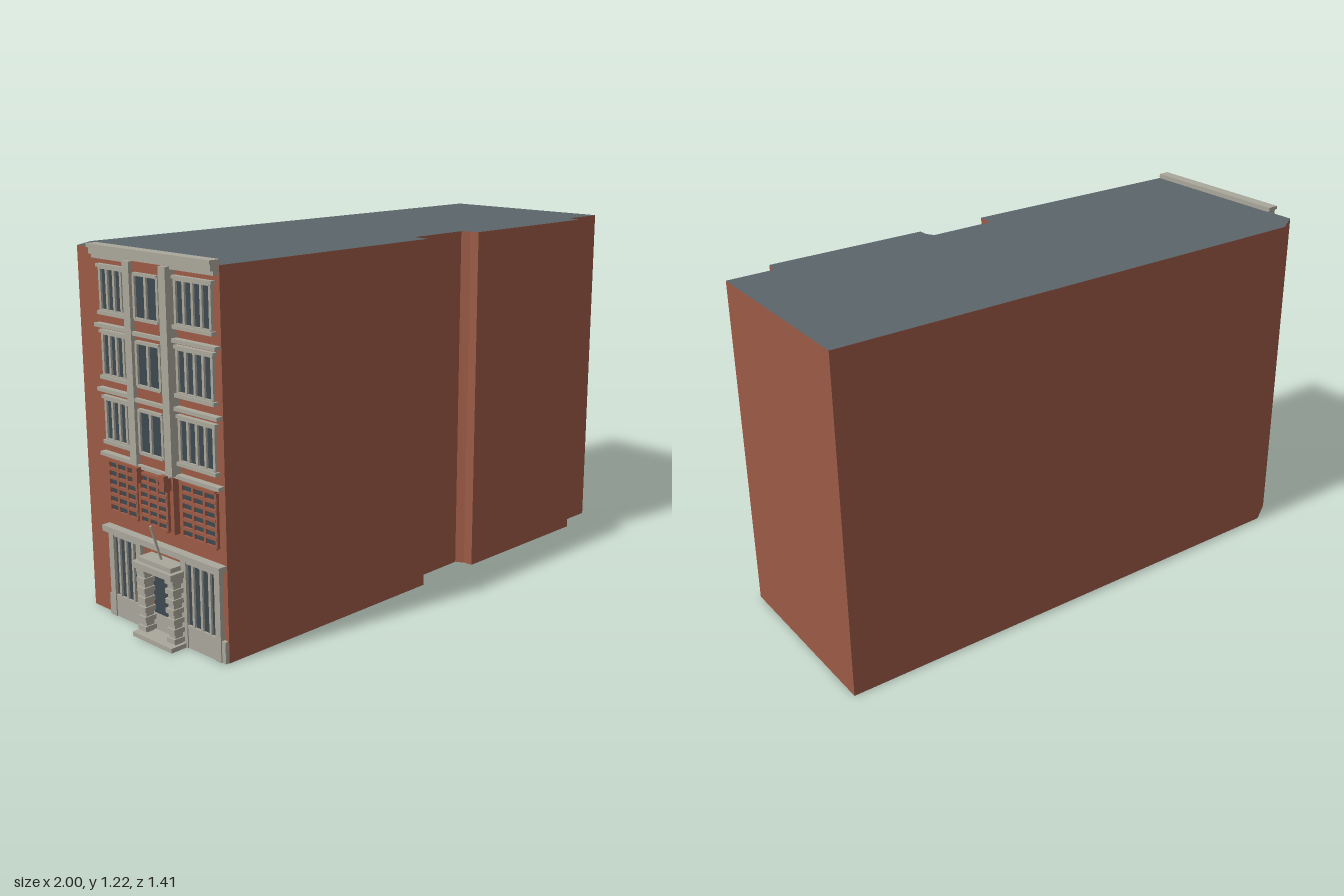
import * as THREE from 'three';

const mat = (color) => new THREE.MeshStandardMaterial({ color, flatShading: true });
const brick = mat(0x9c5a45), slate = mat(0x5a656a), stone = mat(0xaaa79b), glass = mat(0x3c4a50);

// Box given by its left/right, bottom/top and back/front limits
function slab(parent, name, material, u0, u1, y0, y1, d0, d1) {
  const m = new THREE.Mesh(new THREE.BoxGeometry(u1 - u0, y1 - y0, d1 - d0), material);
  m.position.set((u0 + u1) / 2, (y0 + y1) / 2, (d0 + d1) / 2);
  m.name = name;
  parent.add(m);
  return m;
}

// Glazed opening with a frame and evenly spaced bars
function windowUnit(parent, name, frame, u0, u1, y0, y1, d, cols, rows) {
  const g = new THREE.Group();
  g.name = name;
  const t = 0.01;
  slab(g, 'glazing', glass, u0, u1, y0, y1, d - 0.005, d + 0.003);
  for (let i = 0; i <= cols; i++) {
    const u = u0 + (u1 - u0) * i / cols;
    slab(g, 'mullion', frame, u - t / 2, u + t / 2, y0, y1, d, d + 0.01);
  }
  for (let j = 0; j <= rows; j++) {
    const y = y0 + (y1 - y0) * j / rows;
    slab(g, 'crossbar', frame, u0, u1, y - t / 2, y + t / 2, d, d + 0.011);
  }
  parent.add(g);
}

export function createModel() {
  const model = new THREE.Group();
  model.name = 'cornerBuilding';

  // Main block: footprint in plan (x, z), extruded upward
  const plan = [[-1, 0.08], [-0.94, -0.005], [0.74, -0.71], [0.998, -0.08], [0.845, -0.015],
    [0.855, 0.035], [0.32, 0.255], [0.305, 0.225], [0.28, 0.205], [0.06, 0.3], [0.08, 0.358], [-0.72, 0.69]];
  const shape = new THREE.Shape(plan.map(([x, z]) => new THREE.Vector2(x, -z)));
  const block = new THREE.ExtrudeGeometry(shape, { depth: 1.2, bevelEnabled: false });
  block.rotateX(-Math.PI / 2);
  const body = new THREE.Mesh(block, [slate, brick]);
  body.name = 'brickBlock';
  model.add(body);

  // Narrow street front: local x runs along the wall, local z points outward
  const front = new THREE.Group();
  front.name = 'streetFront';
  front.position.set(-1, 0, 0.08);
  front.rotation.y = -Math.atan2(0.61, 0.28);
  model.add(front);
  const L = 0.1, R = 0.668, B0 = 0.29, B1 = 0.46, bayD = 0.03;
  const sides = [[0.125, 0.265], [0.485, 0.64]];

  // Ground floor: stone frame, shop windows and plinth
  slab(front, 'plinth', stone, L, R, 0, 0.07, 0, 0.012);
  for (const [a, b] of sides) {
    windowUnit(front, 'shopWindow', stone, a, b, 0.07, 0.28, 0.002, 4, 1);
    for (const u of [a, b]) slab(front, 'groundPier', stone, u - 0.012, u + 0.012, 0, 0.29, 0, 0.016);
  }
  slab(front, 'shopCornice', stone, L, R, 0.29, 0.31, 0, 0.03);

  // Entrance porch with banded columns, lintel and door
  const porch = new THREE.Group();
  porch.name = 'entrancePorch';
  front.add(porch);
  slab(porch, 'door', glass, 0.33, 0.46, 0, 0.23, 0, 0.01);
  slab(porch, 'step', stone, 0.3, 0.49, 0, 0.015, 0, 0.075);
  for (const u of [0.325, 0.465]) {
    slab(porch, 'column', stone, u - 0.014, u + 0.014, 0, 0.23, 0.02, 0.05);
    for (let i = 0; i < 7; i++) {
      const y = 0.02 + i * 0.032;
      slab(porch, 'columnBand', stone, u - 0.019, u + 0.019, y, y + 0.016, 0.015, 0.057);
    }
  }
  slab(porch, 'lintel', stone, 0.3, 0.49, 0.23, 0.25, 0, 0.068);
  slab(porch, 'lintelCap', stone, 0.315, 0.475, 0.25, 0.265, 0, 0.055);

  // Pole leaning out above the porch
  const pole = new THREE.Mesh(new THREE.CylinderGeometry(0.004, 0.004, 0.13, 8), stone);
  pole.name = 'pole';
  pole.position.set(0.39, 0.32, 0.04);
  pole.rotation.x = 0.3;
  front.add(pole);

  // First floor: windows behind brick lattice
  for (const [a, b] of sides) windowUnit(front, 'latticeWindow', brick, a, b, 0.36, 0.53, 0.002, 3, 6);
  slab(front, 'brickBay', brick, B0, B1, 0.36, 0.55, 0, bayD - 0.008);
  windowUnit(front, 'bayLatticeWindow', brick, B0 + 0.02, B1 - 0.02, 0.37, 0.53, bayD - 0.007, 3, 6);
  for (const u of [B0 + 0.02, B1 - 0.02]) {
    slab(front, 'bayBracket', brick, u - 0.012, u + 0.012, 0.5, 0.55, 0, 0.05);
  }

  // Shallow central bay rising through the upper floors
  slab(front, 'bayCore', brick, B0, B1, 0.55, 1.18, 0, bayD - 0.008);
  for (const u of [B0, B1]) slab(front, 'bayPilaster', stone, u - 0.016, u + 0.016, 0.55, 1.18, 0, bayD + 0.007);

  // Three upper floors: windows, sills and string courses
  [0.55, 0.76, 0.965].forEach((y) => {
    slab(front, 'stringCourse', stone, L, R, y - 0.007, y + 0.005, 0, 0.022);
    slab(front, 'bayStringCourse', stone, B0, B1, y - 0.007, y + 0.005, 0, bayD + 0.004);
    const y0 = y + 0.045, y1 = y + 0.18;
    for (const [a, b] of sides) {
      windowUnit(front, 'sashWindow', stone, a, b, y0, y1, 0.002, 4, 1);
      slab(front, 'sill', stone, a - 0.012, b + 0.012, y0 - 0.012, y0, 0, 0.018);
      slab(front, 'windowHead', stone, a - 0.012, b + 0.012, y1, y1 + 0.01, 0, 0.016);
    }
    windowUnit(front, 'baySash', stone, B0 + 0.03, B1 - 0.03, y0, y1, bayD - 0.007, 2, 1);
  });

  // Roof cornice, overlapping the roof edge
  slab(front, 'corniceBed', stone, L, R, 1.172, 1.185, 0, 0.02);
  slab(front, 'corniceBand', stone, L, R, 1.185, 1.205, -0.005, 0.03);
  slab(front, 'corniceCap', stone, L - 0.004, R + 0.003, 1.205, 1.217, -0.005, 0.036);

  return model;
}
